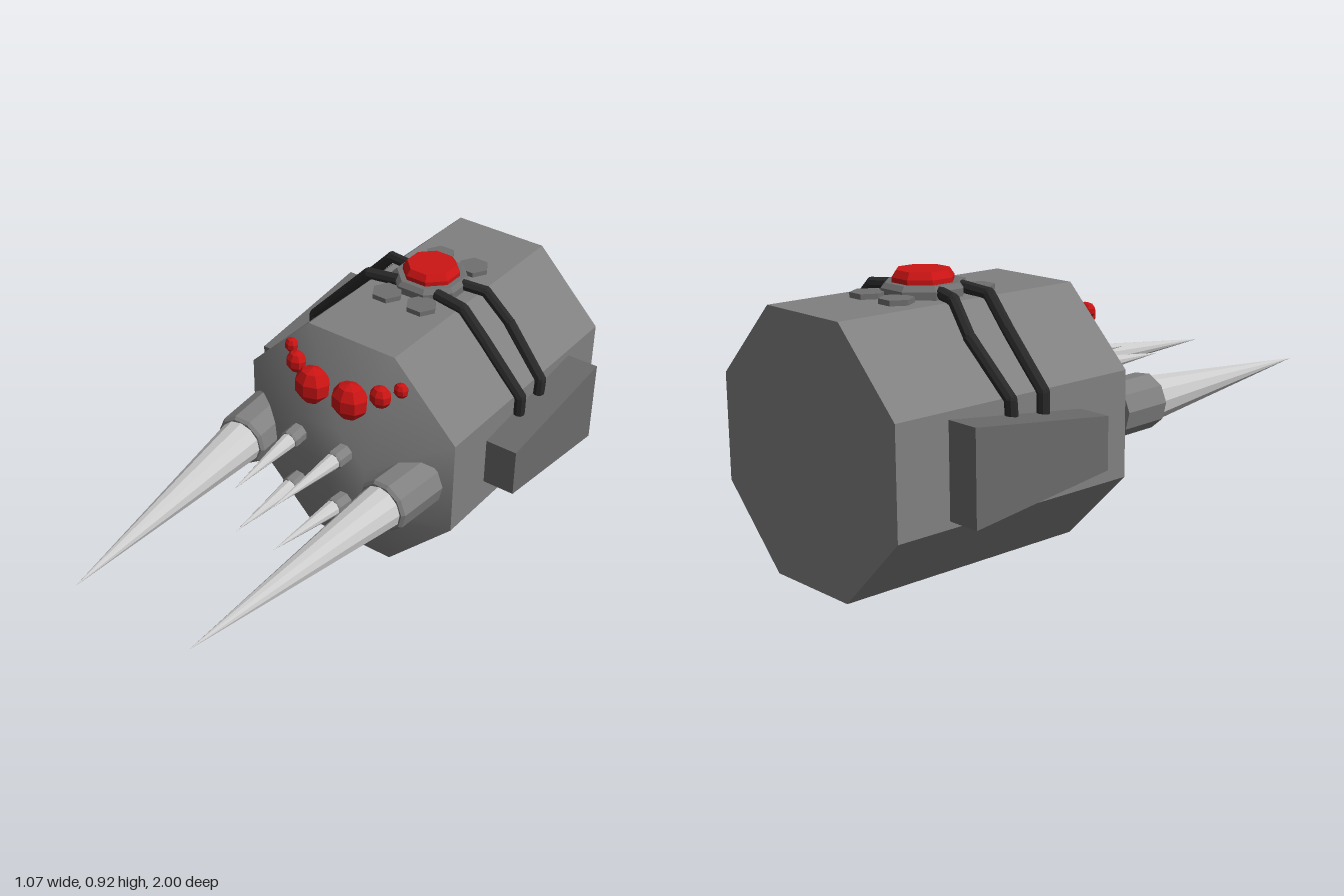
import * as THREE from 'three';
import { toCreasedNormals } from 'three/addons/utils/BufferGeometryUtils.js';

const mat = (color, flatShading = true) => new THREE.MeshStandardMaterial({ color, flatShading });
const hullMat = mat(0x808080, false);
const podMat = mat(0x6a6a6a);
const plateMat = mat(0x707070);
const sleeveMat = mat(0x808080);
const spikeMat = mat(0xcccccc);
const cableMat = mat(0x282828);
const redMat = mat(0xcc1414);

const V = (x, y, z) => new THREE.Vector3(x, y, z);

function add(parent, name, geometry, material, x = 0, y = 0, z = 0) {
  const mesh = new THREE.Mesh(geometry, material);
  mesh.name = name;
  mesh.position.set(x, y, z);
  parent.add(mesh);
  return mesh;
}

// Faceted solid of revolution about y, from [radius, height] pairs listed bottom to top
function lathe(profile, sides) {
  const points = profile.map(([r, h]) => new THREE.Vector2(r, h));
  return new THREE.LatheGeometry(points, sides, Math.PI / sides);
}

// Spike in a bevelled sleeve, pointing from base to tip
function spike(parent, name, base, tip, radius, sleeveLength, sides) {
  const group = new THREE.Group();
  group.name = name;
  group.position.copy(base);
  const axis = tip.clone().sub(base);
  const length = axis.length();
  group.quaternion.setFromUnitVectors(V(0, 1, 0), axis.normalize());
  const sleeve = lathe([[0, 0], [radius, 0], [radius, sleeveLength * 0.95],
    [radius * 0.9, sleeveLength], [0, sleeveLength]], sides);
  add(group, 'sleeve', sleeve, sleeveMat);
  const coneLength = length - sleeveLength;
  const cone = new THREE.ConeGeometry(radius * 0.83, coneLength, sides + 2);
  add(group, 'spikeCone', cone, spikeMat, 0, sleeveLength + coneLength / 2, 0);
  parent.add(group);
}

// Jointed cable along a list of points
function cable(parent, points, radius) {
  const group = new THREE.Group();
  group.name = 'cable';
  points.forEach((p, i) => {
    if (i > 0 && i < points.length - 1) {
      add(group, 'cableJoint', new THREE.SphereGeometry(radius, 8, 6), cableMat, p.x, p.y, p.z);
    }
    if (i === 0) return;
    const dir = p.clone().sub(points[i - 1]);
    const mid = p.clone().add(points[i - 1]).multiplyScalar(0.5);
    const part = add(group, 'cableSegment',
      new THREE.CylinderGeometry(radius, radius, dir.length(), 8), cableMat, mid.x, mid.y, mid.z);
    part.quaternion.setFromUnitVectors(V(0, 1, 0), dir.normalize());
  });
  parent.add(group);
}

export function createModel() {
  const model = new THREE.Group();
  model.name = 'spikedPod';

  // Octagonal hull with a tapered, softly shaded nose
  const hull = lathe([[0, -1], [0.4546, -1], [0.4546, -0.09], [0.189, 0.07], [0, 0.07]], 8);
  hull.rotateX(Math.PI / 2);
  add(model, 'hull', toCreasedNormals(hull, 0.66), hullMat, 0, 0.42, 0);

  // Round hatch with its red button on the roof
  const hatch = new THREE.Group();
  hatch.name = 'hatch';
  hatch.position.set(0, 0.83, -0.55);
  add(hatch, 'hatchPlate', lathe([[0, 0], [0.135, 0], [0.135, 0.035], [0.12, 0.05], [0, 0.05]], 8), plateMat);
  add(hatch, 'hatchButton',
    lathe([[0, 0.03], [0.1, 0.03], [0.1, 0.065], [0.085, 0.087], [0, 0.087]], 8), redMat);
  model.add(hatch);

  for (const s of [1, -1]) {
    // Wedge-shaped side pods, tall at the back
    const outline = new THREE.Shape([[0.285, 0.335], [0.81, 0.27], [0.81, 0.57], [0.285, 0.505]]
      .map(([z, y]) => new THREE.Vector2(z, y)));
    const pod = new THREE.ExtrudeGeometry(outline, { depth: 0.155, bevelEnabled: false });
    pod.rotateY(Math.PI / 2);
    add(model, 'sidePod', pod, podMat, s > 0 ? 0.38 : -0.535, 0, 0);

    // Large horns and the four small spikes
    spike(model, 'largeHorn', V(s * 0.31, 0.437, -0.06), V(s * 0.228, 0.425, 1), 0.094, 0.2, 10);
    for (const v of [1, -1]) {
      spike(model, 'smallSpike', V(s * 0.098, 0.423 + v * 0.102, 0),
        V(s * 0.078, 0.423 + v * 0.087, 0.43), 0.034, 0.13, 8);
    }

    // Row of eyes, shrinking outwards
    for (const [x, y, z, r] of [[0.076, 0.692, 0.017, 0.068], [0.171, 0.726, -0.02, 0.04],
      [0.223, 0.75, -0.06, 0.027]]) {
      const eye = add(model, 'eye', new THREE.SphereGeometry(r, 8, 5), redMat, s * x, y, z);
      eye.scale.z = 0.8;
    }

    // Hexagonal bolts around the hatch
    for (const z of [-0.39, -0.71]) {
      const bolt = add(model, 'bolt', new THREE.CylinderGeometry(0.055, 0.055, 0.03, 6), plateMat,
        s * 0.07, 0.842, z);
      bolt.rotation.y = Math.PI / 6;
    }

    // Cables running from the hatch down to the pods
    const route = [[0.08, 0.862], [0.195, 0.852], [0.285, 0.755], [0.437, 0.592], [0.437, 0.525]];
    for (const depths of [[-0.465, -0.455, -0.46, -0.46, -0.46], [-0.57, -0.595, -0.612, -0.59, -0.585]]) {
      cable(model, route.map(([x, y], i) => V(s * x, y, depths[i])), 0.02);
    }
  }
  return model;
}
